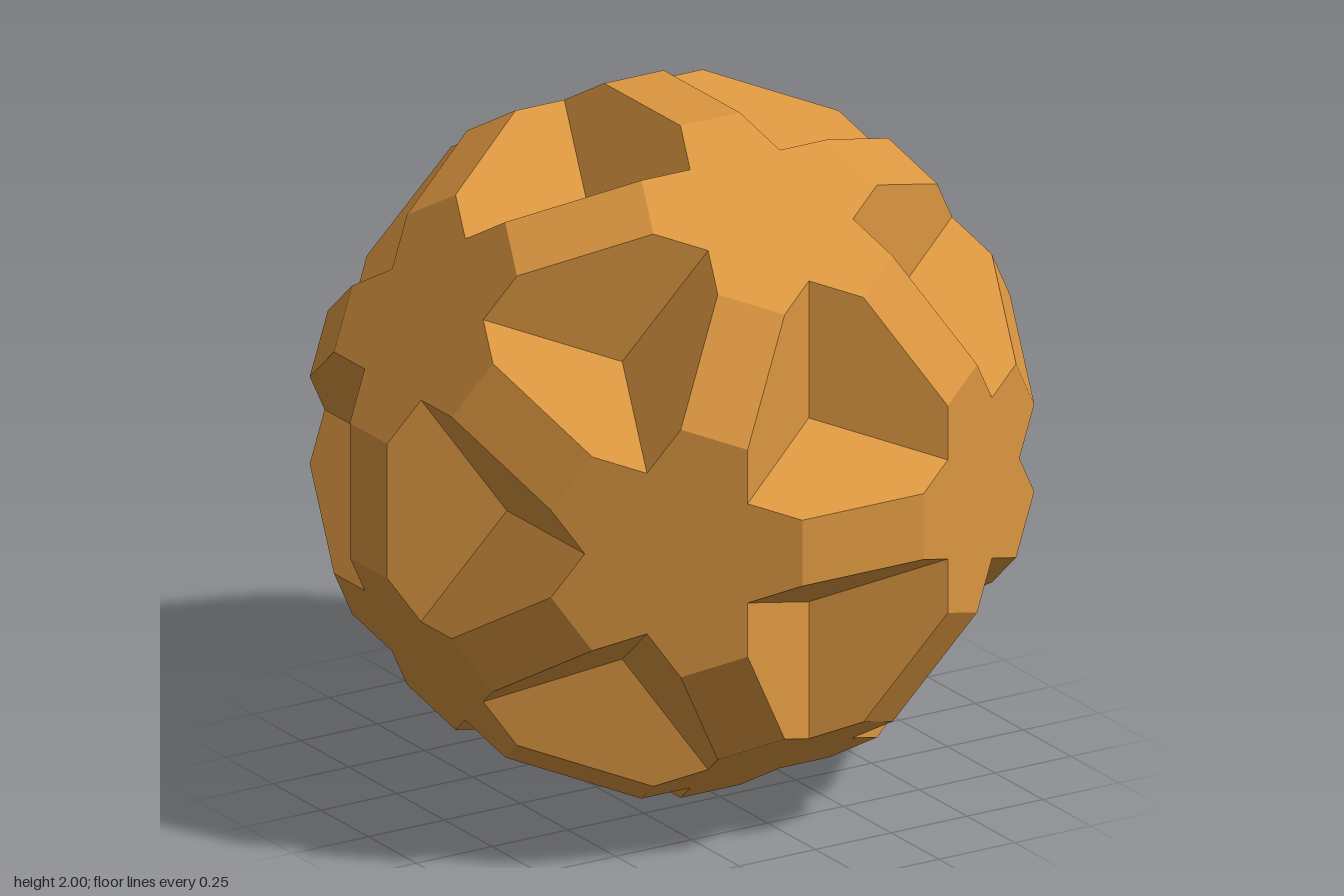
import * as THREE from 'three';

const PHI = (1 + Math.sqrt(5)) / 2;
const EDGE_DIST = 1, HALF_LENGTH = 0.2, HALF_WIDTH = 0.098; // small rectangular facets
const CENTRE = new THREE.Vector3(0, 1, 0);

// Twelve five-fold axes of the solid
function fiveFoldAxes() {
  const axes = [];
  for (const a of [-1, 1]) for (const b of [-PHI, PHI]) {
    axes.push(new THREE.Vector3(0, b, a), new THREE.Vector3(a, 0, b), new THREE.Vector3(b, a, 0));
  }
  return axes.map((v) => v.normalize());
}

// Adds a fan of triangles, each wound so that it faces away from the middle
function addPolygon(out, pts) {
  for (let i = 1; i < pts.length - 1; i++) {
    const [a, b, c] = [pts[0], pts[i], pts[i + 1]];
    const n = b.clone().sub(a).cross(c.clone().sub(a));
    const tri = n.dot(a) > 0 ? [a, b, c] : [a, c, b];
    tri.forEach((p) => out.push(p.x + CENTRE.x, p.y + CENTRE.y, p.z + CENTRE.z));
  }
}

function flatMesh(name, positions, material) {
  const geometry = new THREE.BufferGeometry();
  geometry.setAttribute('position', new THREE.Float32BufferAttribute(positions, 3));
  geometry.computeVertexNormals();
  const mesh = new THREE.Mesh(geometry, material);
  mesh.name = name;
  return mesh;
}

export function createModel() {
  const amber = new THREE.MeshStandardMaterial({ color: 0xdb9640 });
  amber.name = 'amber';

  const axes = fiveFoldAxes();
  const adjacent = (a, b) => Math.abs(a.dot(b) - 1 / Math.sqrt(5)) < 0.01;
  const stars = [], facets = [], pits = [];

  axes.forEach((f, i) => axes.forEach((g, j) => {
    if (j <= i || !adjacent(f, g)) return;

    // Rectangle between two neighbouring stars
    const m = f.clone().add(g).normalize();
    const u = f.clone().sub(g).normalize();
    const v = m.clone().cross(u);
    const corner = (su, sv) => m.clone().multiplyScalar(EDGE_DIST)
      .addScaledVector(u, su * HALF_LENGTH).addScaledVector(v, sv * HALF_WIDTH);
    addPolygon(facets, [corner(1, 1), corner(-1, 1), corner(-1, -1), corner(1, -1)]);

    const starDist = corner(1, 1).dot(f);
    const starF = f.clone().multiplyScalar(starDist);
    const starG = g.clone().multiplyScalar(starDist);
    addPolygon(stars, [starF, corner(1, 1), corner(1, -1)]);
    addPolygon(stars, [starG, corner(-1, 1), corner(-1, -1)]);

    // Three-sided pits on both long sides of the rectangle
    for (const side of [-1, 1]) {
      const h = axes.find((a) => adjacent(a, f) && adjacent(a, g) && a.dot(v) * side > 0);
      const bottom = f.clone().add(g).add(h).normalize();
      bottom.multiplyScalar(corner(1, side).dot(h) / bottom.dot(h));
      // Top end of the crease that climbs from the pit bottom to a star
      const creaseEnd = (to, other) => {
        const e = other.clone().cross(h).normalize();
        return bottom.clone().addScaledVector(e, (starDist - bottom.dot(to)) / e.dot(to));
      };
      const nf = creaseEnd(f, g), ng = creaseEnd(g, f);
      addPolygon(pits, [bottom, nf, corner(1, side), corner(-1, side), ng]);
      addPolygon(stars, [starF, corner(1, side), nf]);
      addPolygon(stars, [starG, corner(-1, side), ng]);
    }
  }));

  const group = new THREE.Group();
  group.name = 'facetedBall';
  group.add(
    flatMesh('starFaces', stars, amber),
    flatMesh('edgeFacets', facets, amber),
    flatMesh('pitFaces', pits, amber),
  );
  return group;
}
